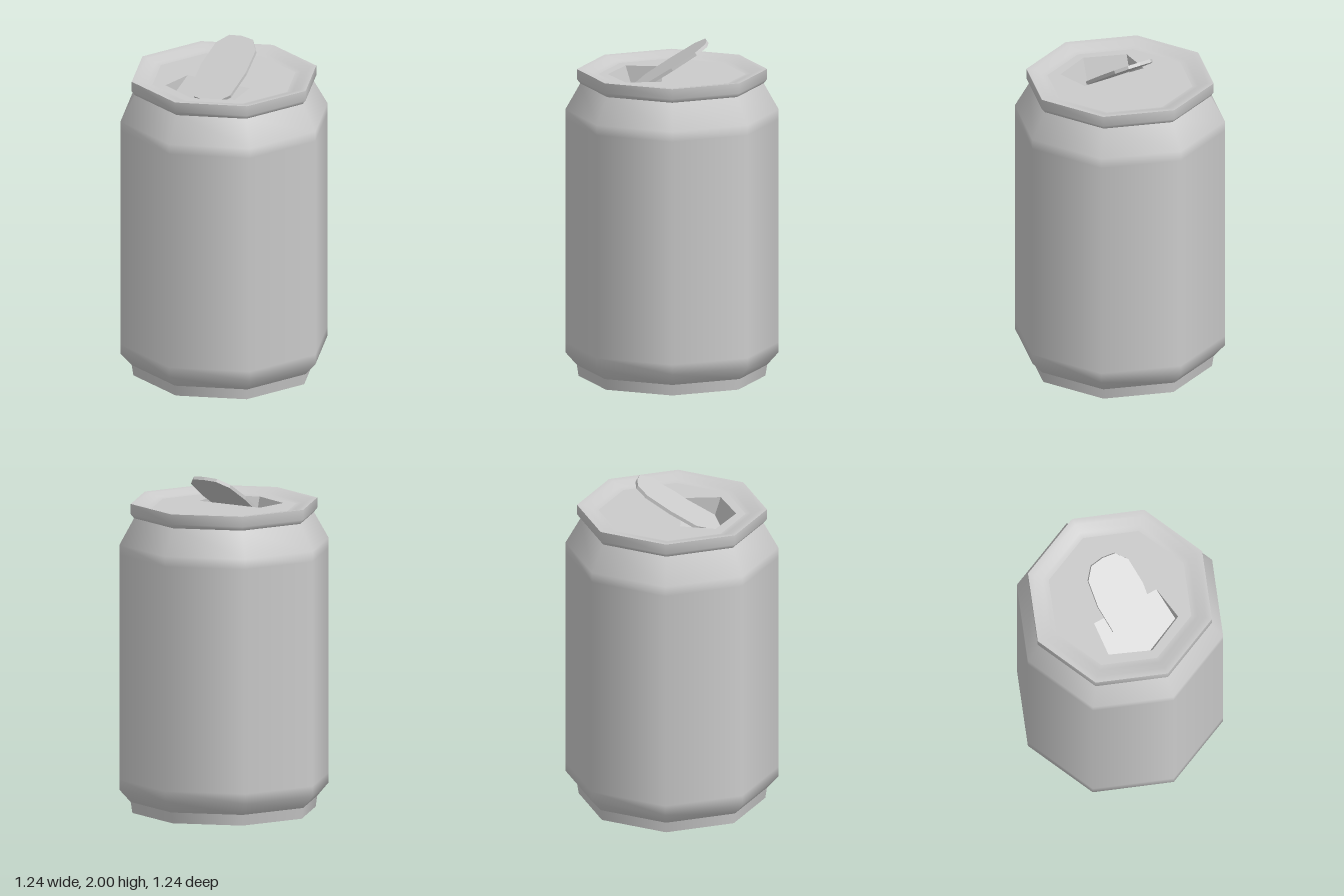
import * as THREE from 'three';

const SIDES = 8;
const LID_Y = 1.8;
const TILT = 0.57; // slope shared by the pull tab and the pushed-in flap

const material = new THREE.MeshStandardMaterial({ color: 0xcccccc });
const thinMaterial = new THREE.MeshStandardMaterial({ color: 0xcccccc, side: THREE.DoubleSide });

const vectors = (pairs) => pairs.map(([x, y]) => new THREE.Vector2(x, y));

function addMesh(group, name, geometry, mat = material) {
  const mesh = new THREE.Mesh(geometry, mat);
  mesh.name = name;
  group.add(mesh);
  return mesh;
}

// Eight-sided ring from a [radius, height] profile, smooth inside one profile
const ring = (profile) => new THREE.LatheGeometry(vectors(profile), SIDES);

// Mouth outline on the lid as [x, z], starting and ending at the hinge
const MOUTH = [[-0.21, 0.06], [-0.235, 0.27], [0, 0.375], [0.235, 0.27], [0.21, 0.06]];

function lidGeometry() {
  const rim = [];
  for (let i = 0; i < SIDES; i++) {
    const a = (i / SIDES) * Math.PI * 2;
    rim.push([0.43 * Math.cos(a), 0.43 * Math.sin(a)]);
  }
  const shape = new THREE.Shape(vectors(rim));
  shape.holes.push(new THREE.Path(vectors(MOUTH.map(([x, z]) => [x, -z]))));
  return new THREE.ShapeGeometry(shape).rotateX(-Math.PI / 2).translate(0, LID_Y, 0);
}

// Flap swung down about the hinge, with walls joining it to the mouth edge
function mouthGeometry() {
  const top = MOUTH.map(([x, z]) => [x, LID_Y, z]);
  const low = MOUTH.map(([x, z]) => {
    const d = z - 0.06;
    return [x, LID_Y - d * Math.sin(TILT), 0.06 + d * Math.cos(TILT)];
  });
  const corners = [];
  for (let i = 1; i < low.length - 1; i++) corners.push(low[0], low[i], low[i + 1]);
  for (let i = 0; i < low.length - 1; i++) {
    corners.push(top[i], top[i + 1], low[i + 1], top[i], low[i + 1], low[i]);
  }
  const geometry = new THREE.BufferGeometry();
  geometry.setAttribute('position', new THREE.Float32BufferAttribute(corners.flat(), 3));
  geometry.computeVertexNormals();
  return geometry;
}

// Thin rounded plate, mirrored left to right
function tabGeometry() {
  const half = [[0, -0.247], [0.08, -0.238], [0.135, -0.178], [0.151, 0], [0.135, 0.165], [0.08, 0.236], [0, 0.247]];
  const mirrored = half.slice(1, -1).reverse().map(([x, y]) => [-x, y]);
  const shape = new THREE.Shape(vectors([...half, ...mirrored]));
  return new THREE.ExtrudeGeometry(shape, { depth: 0.02, bevelEnabled: false }).translate(0, 0, -0.01);
}

export function createModel() {
  const can = new THREE.Group();
  can.name = 'drinkCan';

  // Underside and foot
  addMesh(can, 'base', ring([[0, 0.05], [0.415, 0.05]]));
  addMesh(can, 'baseRing', ring([[0.415, 0.05], [0.46, 0.04], [0.5, 0.005], [0.545, 0]]));
  addMesh(can, 'foot', ring([[0.545, 0], [0.555, 0.065]]));

  // Wall with its lower and upper shoulders
  addMesh(can, 'body', ring([
    [0.555, 0.065], [0.622, 0.14], [0.622, 0.2], [0.622, 1.53], [0.622, 1.59], [0.535, 1.745],
  ]));

  // Rolled rim, then its inner slope down to the lid
  addMesh(can, 'rim', ring([[0.535, 1.745], [0.555, 1.77], [0.555, 1.83]]));
  addMesh(can, 'rimInside', ring([[0.555, 1.83], [0.515, 1.827], [0.465, 1.805], [0.43, LID_Y]]));

  addMesh(can, 'lid', lidGeometry(), thinMaterial);
  addMesh(can, 'mouthFlap', mouthGeometry(), thinMaterial);

  // Pull tab, raised at the back and dipping into the mouth
  const tab = addMesh(can, 'pullTab', tabGeometry());
  tab.position.y = 1.859;
  tab.rotation.x = TILT - Math.PI / 2;

  return can;
}
